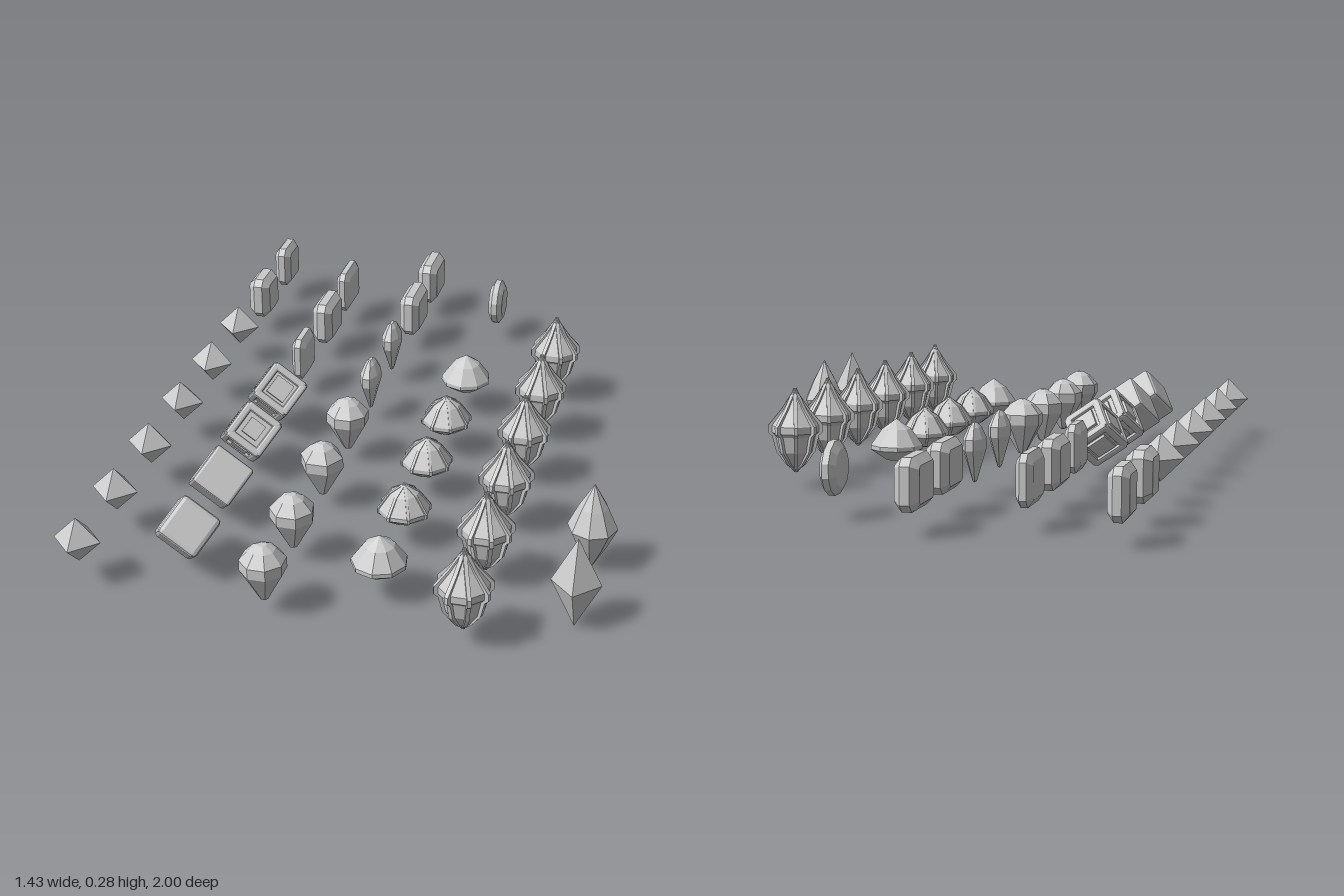
import * as THREE from 'three';
import { RoundedBoxGeometry } from 'three/addons/geometries/RoundedBoxGeometry.js';

const mat = new THREE.MeshStandardMaterial({ color: 0xcccccc, flatShading: true });

function mesh(geo, name) {
  const g = geo.index ? geo.toNonIndexed() : geo;
  g.computeVertexNormals();
  const m = new THREE.Mesh(g, mat);
  m.name = name;
  return m;
}

const points = (profile, s = 1) => profile.map(([r, y]) => new THREE.Vector2(r * s, y));

// Faceted stone: a profile of [radius, height] turned with few sides
function turned(profile, sides, name, { turn = 0, sx = 1, s = 1 } = {}) {
  const g = new THREE.LatheGeometry(points(profile, s), sides);
  g.rotateY(turn);
  g.scale(sx, 1, 1);
  return mesh(g, name);
}

// Stone with a thin raised rib along every edge
function ribbed(profile, name, { inner = 0.92, width = 0.008 } = {}) {
  const group = new THREE.Group();
  group.name = name;
  const turn = Math.PI / 8;
  group.add(turned(profile, 8, 'stoneBody', { turn, s: inner }));
  for (let k = 0; k < 8; k++) {
    const g = new THREE.ExtrudeGeometry(new THREE.Shape(points(profile)), { depth: width, bevelEnabled: false });
    g.translate(0, 0, -width / 2);
    g.rotateY(turn + k * Math.PI / 4);
    group.add(mesh(g, 'edgeRib'));
  }
  return group;
}

// Step-cut slab standing upright, thin along x
function slab(thick, length, height, name, oval = false) {
  const a = length / 2, b = height / 2, c = 0.02;
  let pts;
  if (oval) {
    pts = Array.from({ length: 12 }, (_, i) => {
      const t = (i + 0.5) * Math.PI / 6;
      return [a * 1.03 * Math.cos(t), b * 1.03 * Math.sin(t)];
    });
  } else {
    pts = [[a, c - b], [a, b - c], [a - c, b], [c - a, b], [-a, b - c], [-a, c - b], [c - a, -b], [a - c, -b]];
  }
  const bevel = thick * 0.3;
  const g = new THREE.ExtrudeGeometry(new THREE.Shape(points(pts)), {
    depth: thick - 2 * bevel, bevelEnabled: true, bevelSegments: 1,
    bevelThickness: bevel, bevelSize: 0.02, bevelOffset: -0.02,
  });
  g.center();
  g.rotateY(Math.PI / 2);
  g.translate(0, 0.132, 0);
  return mesh(g, name);
}

// Eight-faced stone whose top point may lean off the axis
function octahedron(lean) {
  const g = new THREE.OctahedronGeometry(0.066);
  const p = g.attributes.position;
  for (let i = 0; i < p.count; i++) if (p.getY(i) > 0.03) p.setZ(i, p.getZ(i) + lean);
  g.translate(0, 0.134, 0);
  return mesh(g, 'octahedronStone');
}

// Cube balanced on one corner, plain or with framed faces
function cube(bevel, panel) {
  const group = new THREE.Group();
  group.name = panel ? 'framedCube' : 'plainCube';
  const size = 0.124;
  if (!panel) {
    group.add(mesh(new RoundedBoxGeometry(size, size, size, 1, bevel), 'cubeBody'));
  } else {
    const bar = 0.024, o = (size - bar) / 2;
    group.add(mesh(new THREE.BoxGeometry(0.106, 0.106, 0.106), 'cubeCore'));
    for (let axis = 0; axis < 3; axis++) {
      const dims = [panel, panel, panel];
      dims[axis] = size;
      group.add(mesh(new THREE.BoxGeometry(...dims), 'facePanel'));
      for (const u of [-o, o]) for (const v of [-o, o]) {
        const d = [bar, bar, bar], pos = [u, u, u];
        d[axis] = size - 0.012;
        pos[axis] = 0;
        pos[(axis + 1) % 3] = u;
        pos[(axis + 2) % 3] = v;
        const m = mesh(new RoundedBoxGeometry(...d, 1, 0.007), 'edgeBar');
        m.position.set(...pos);
        group.add(m);
      }
    }
  }
  // stand the body diagonal upright
  const axes = [300, 180, 60].map((deg) => {
    const t = THREE.MathUtils.degToRad(deg), h = Math.sqrt(2 / 3);
    return new THREE.Vector3(h * Math.cos(t), 1 / Math.sqrt(3), h * Math.sin(t));
  });
  group.quaternion.setFromRotationMatrix(new THREE.Matrix4().makeBasis(...axes));
  group.position.y = 0.134;
  return group;
}

export function createModel() {
  const model = new THREE.Group();
  model.name = 'gemCollection';
  const put = (stone, x, z) => {
    stone.position.x = x;
    stone.position.z = z;
    model.add(stone);
  };

  const drop = [[0, 0.04], [0.012, 0.045], [0.062, 0.135], [0.062, 0.165], [0.035, 0.195], [0.012, 0.208], [0, 0.208]];
  const disc = [[0, 0.068], [0.03, 0.073], [0.075, 0.104], [0.075, 0.116], [0.042, 0.162], [0, 0.19]];
  const spire = [[0, 0.045], [0.028, 0.068], [0.055, 0.105], [0.066, 0.15], [0.077, 0.16], [0.077, 0.18], [0.04, 0.225], [0, 0.285]];
  const spindle = [[0, 0], [0.04, 0.072], [0.068, 0.133], [0.04, 0.195], [0, 0.265]];
  const bipyramid = [[0, 0], [0.066, 0.133], [0, 0.265]];

  // Row of octahedra
  [[-0.4, 0], [-0.135, -0.008], [0.125, 0.008], [0.39, 0], [0.65, 0], [0.91, 0]]
    .forEach(([z, lean]) => put(octahedron(lean), -0.65, z));

  // Step-cut slabs: x, z, thickness, length
  [[-0.65, -0.92, 0.055, 0.13], [-0.65, -0.66, 0.07, 0.13],
    [-0.39, -0.785, 0.045, 0.155], [-0.39, -0.535, 0.065, 0.155], [-0.39, -0.265, 0.045, 0.13],
    [-0.13, -0.92, 0.065, 0.16], [-0.13, -0.665, 0.065, 0.16]]
    .forEach(([x, z, t, l]) => put(slab(t, l, 0.136, 'stepCutSlab'), x, z));
  put(slab(0.045, 0.136, 0.142, 'ovalSlab', true), 0.13, -0.785);

  // Cubes on their corners
  put(cube(0, 0.06), -0.39, 0.005);
  put(cube(0, 0.05), -0.39, 0.255);
  put(cube(0.008), -0.39, 0.52);
  put(cube(0.013), -0.39, 0.785);

  // Deep pointed drops, the two flat ones squeezed along x
  [[0.125, 8], [0.39, 6], [0.67, 7], [0.92, 8]]
    .forEach(([z, n]) => put(turned(drop, n, 'dropStone', { turn: Math.PI / n }), -0.135, z));
  [-0.395, -0.135].forEach((z) => put(turned(drop, 8, 'flatDrop', { turn: Math.PI / 8, sx: 0.47 }), -0.135, z));

  // Wide shallow discs, plain at the ends and ribbed between
  [-0.265, 0.78].forEach((z) => put(turned(disc, 9, 'plainDisc'), 0.135, z));
  [0.005, 0.255, 0.515].forEach((z) => put(ribbed(disc, 'ribbedDisc', { inner: 0.96 }), 0.135, z));

  // Ribbed spires
  [-0.4, -0.14, 0.12, 0.385, 0.655, 0.925]
    .forEach((z) => put(ribbed(spire, 'ribbedSpire', { inner: 0.88, width: 0.011 }), 0.39, z));

  // Tall double points
  put(turned(spindle, 8, 'spindleStone'), 0.65, 0.515);
  put(turned(bipyramid, 4, 'bipyramidStone'), 0.65, 0.785);

  return model;
}
